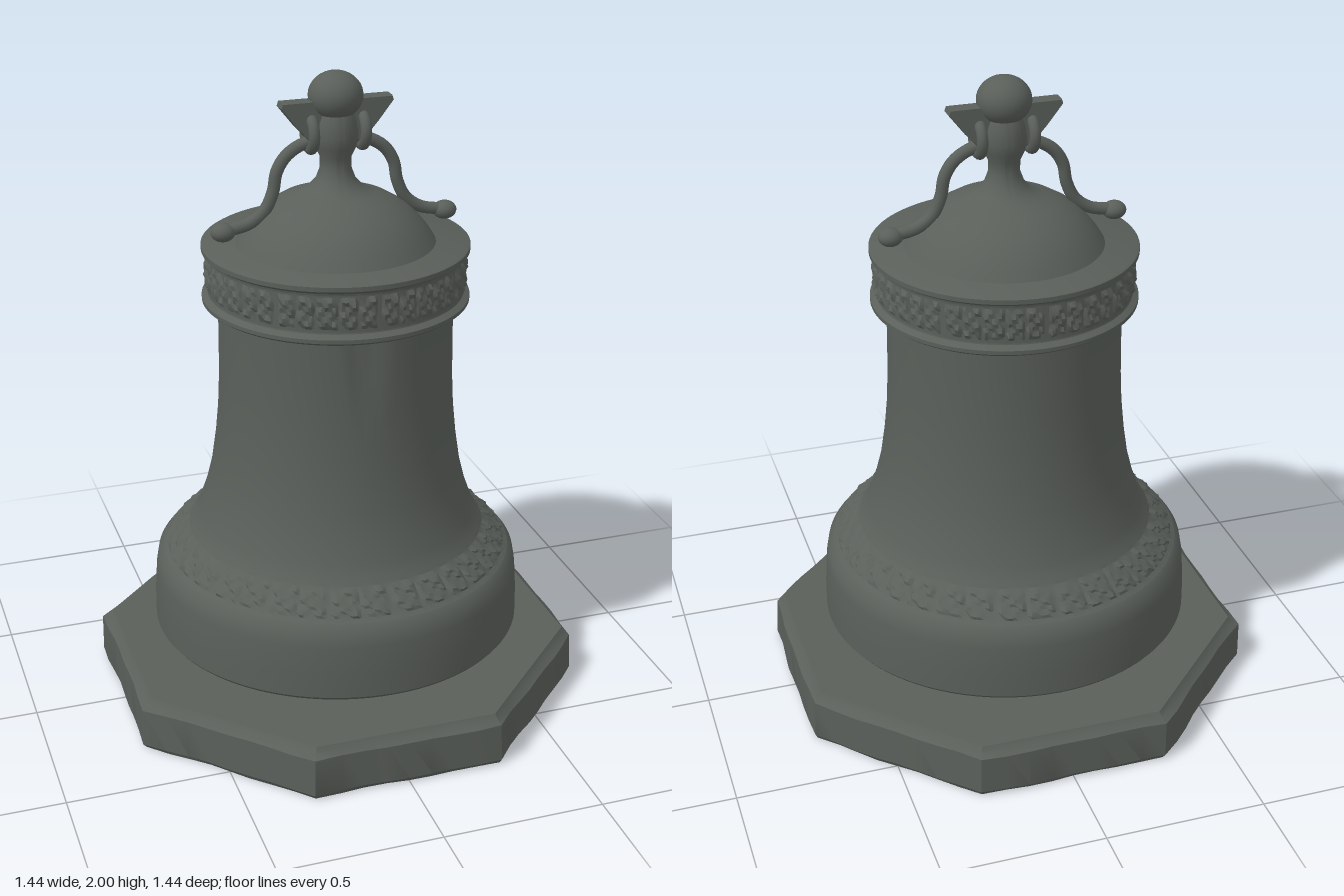
import * as THREE from 'three';
import { toCreasedNormals } from 'three/addons/utils/BufferGeometryUtils.js';

const bronze = new THREE.MeshStandardMaterial({ color: 0x5a5f5a });
bronze.name = 'dark weathered bronze';

const pts = (list) => list.map(([r, y]) => new THREE.Vector2(r, y));

function add(group, name, geometry, x = 0, y = 0, z = 0) {
  const mesh = new THREE.Mesh(geometry, bronze);
  mesh.name = name;
  mesh.position.set(x, y, z);
  group.add(mesh);
  return mesh;
}

// Lathe whose vertices can be moved by a rule (angle, position, row), then creased
function turned(profile, segments, move, crease = 0.6) {
  const geo = new THREE.LatheGeometry(pts(profile), segments);
  if (move) {
    const pos = geo.attributes.position, v = new THREE.Vector3();
    for (let i = 0; i < pos.count; i++) {
      v.fromBufferAttribute(pos, i);
      const turn = Math.floor(i / profile.length) % segments;
      move(v, (turn / segments) * Math.PI * 2, i % profile.length);
      pos.setXYZ(i, v.x, v.y, v.z);
    }
  }
  geo.deleteAttribute('uv');
  return toCreasedNormals(geo, crease);
}

// Worn relief ring running between two (radius, height) points
function frieze(r0, y0, r1, y1, panels, amp) {
  const rows = 9, profile = [];
  for (let i = 0; i <= rows; i++) {
    const t = i / rows;
    profile.push([r0 + (r1 - r0) * t, y0 + (y1 - y0) * t]);
  }
  return turned(profile, 256, (v, a, row) => {
    if (row === 0 || row === rows) return;
    const cell = (a / (Math.PI * 2)) * panels;
    const f = cell - Math.floor(cell);
    const inside = f > 0.16 && row > 1 && row < rows - 1 ? 1 : 0;
    const wear = 0.5 + 0.3 * Math.sin(a * 37 + row * 1.3) + 0.3 * Math.sin(a * 61 - row * 2.1);
    const k = 1 + (amp * (inside * wear - 0.3)) / Math.hypot(v.x, v.z);
    v.x *= k;
    v.z *= k;
  }, 0.5);
}

export function createModel() {
  const model = new THREE.Group();
  model.name = 'bell';

  // Octagonal stone slab with softly chipped edges
  const side = Math.PI / 4;
  add(model, 'octagonBase', turned(
    [[0, 0], [0.71, 0], [0.72, 0.015], [0.716, 0.135], [0.695, 0.148], [0.685, 0.163], [0, 0.163]], 64,
    (v, a, row) => {
      const off = a - Math.round(a / side) * side;
      const chip = row > 0 && row < 4 ? 0.004 * (Math.sin(a * 9) + Math.sin(a * 17 + row) - 1) : 0;
      const k = (1 + chip) / Math.cos(off);
      v.x *= k;
      v.z *= k;
    }, 0.5));

  // Short foot between slab and bell
  add(model, 'foot', turned([[0.375, 0.15], [0.37, 0.19], [0.38, 0.235]], 64, (v, a) => {
    const k = 1 + 0.008 * Math.sin(a * 13) + 0.006 * Math.sin(a * 21);
    v.x *= k;
    v.z *= k;
  }));

  // Bell body: rim, flare and waist
  add(model, 'bellBody', turned([
    [0, 0.222], [0.577, 0.222], [0.585, 0.232], [0.584, 0.31], [0.578, 0.4], [0.57, 0.445],
    [0.55, 0.467], [0.505, 0.505], [0.46, 0.55], [0.437, 0.6], [0.412, 0.67], [0.392, 0.75],
    [0.377, 0.85], [0.367, 0.95], [0.362, 1.05], [0.36, 1.18], [0.36, 1.31],
  ], 96, (v, a) => {
    // small wedge-shaped dent below the collar at the front
    const width = 0.06 * Math.max(0, (v.y - 1.04) / 0.27);
    if (v.z > 0 && width > 0 && Math.abs(v.x + 0.03) < width) v.z -= 0.012;
  }));
  add(model, 'lowerFrieze', frieze(0.552, 0.468, 0.462, 0.555, 34, 0.014));

  // Collar with raised lips around a relief band
  add(model, 'collar', turned([
    [0.35, 1.298], [0.398, 1.298], [0.408, 1.306], [0.408, 1.318], [0.396, 1.326],
    [0.39, 1.33], [0.39, 1.452], [0.398, 1.458], [0.407, 1.464], [0.407, 1.478], [0.4, 1.482], [0, 1.482],
  ], 96));
  add(model, 'collarFrieze', frieze(0.392, 1.325, 0.393, 1.458, 40, 0.013));

  // Domed crown sweeping up into the post
  add(model, 'dome', turned([
    [0.305, 1.478], [0.285, 1.51], [0.255, 1.548], [0.215, 1.585], [0.165, 1.615], [0.12, 1.632],
    [0.085, 1.648], [0.06, 1.675], [0.047, 1.71], [0.048, 1.745], [0.062, 1.775],
    [0.068, 1.81], [0.062, 1.85], [0.05, 1.89], [0.03, 1.92],
  ], 64, null, 0.9));

  // Finial ball
  add(model, 'finialBall', new THREE.SphereGeometry(0.082, 32, 20), 0, 1.918 + 0.01, 0)
    .scale.set(1, 0.88, 1);

  // Mirrored wing, ring and hanging arm
  for (const s of [1, -1]) {
    const label = s > 0 ? 'left' : 'right';

    const wing = new THREE.Shape(
      pts([[0, 1.8], [0.085 * s, 1.8], [0.125 * s, 1.845], [0.172 * s, 1.905], [0.168 * s, 1.917], [0, 1.917]]));
    add(model, label + 'Wing', new THREE.ExtrudeGeometry(wing, {
      depth: 0.04, bevelEnabled: true, bevelThickness: 0.004, bevelSize: 0.002, bevelSegments: 1,
    }), 0, 0, -0.02);

    const ring = add(model, label + 'Ring', new THREE.TorusGeometry(0.048, 0.017, 12, 28), s * 0.08, 1.82, 0);
    ring.rotation.y = Math.PI / 2;

    const path = new THREE.CatmullRomCurve3([
      [0.05, 1.8], [0.11, 1.785], [0.155, 1.755], [0.183, 1.71], [0.195, 1.65],
      [0.222, 1.595], [0.27, 1.56], [0.35, 1.543],
    ].map(([x, y]) => new THREE.Vector3(s * x, y, 0)));
    add(model, label + 'Arm', new THREE.TubeGeometry(path, 48, 0.019, 12));
    add(model, label + 'ArmKnob', new THREE.SphereGeometry(0.03, 20, 14), s * 0.35, 1.541, 0)
      .scale.set(1.25, 0.95, 1.15);
  }

  return model;
}
